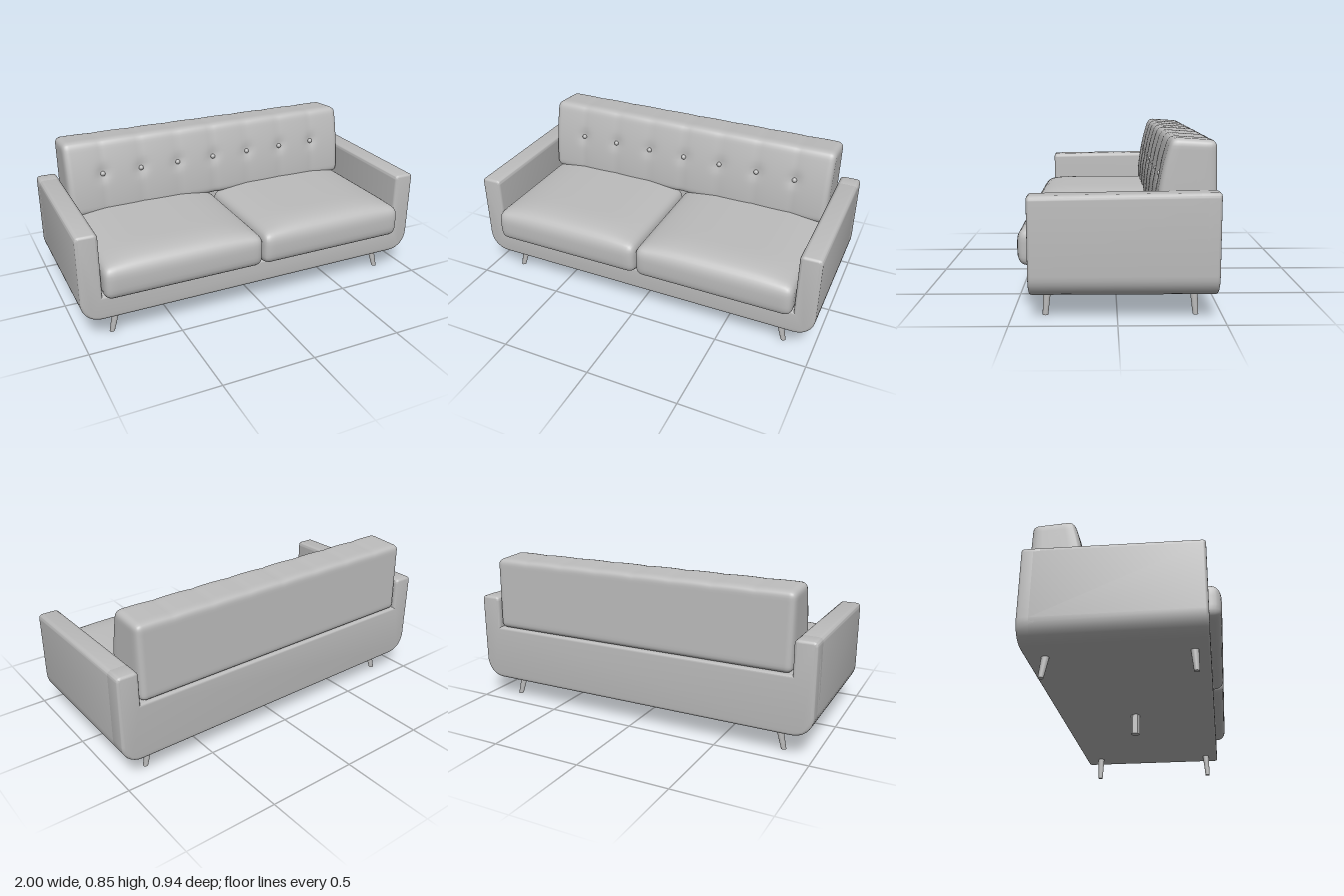
import * as THREE from 'three';
import { mergeVertices, toCreasedNormals } from 'three/addons/utils/BufferGeometryUtils.js';

const fabric = new THREE.MeshStandardMaterial({ color: 0xbcbcbc });
fabric.name = 'grey';

function part(name, geometry, parent) {
  const mesh = new THREE.Mesh(geometry, fabric);
  mesh.name = name;
  parent.add(mesh);
  return mesh;
}

// Rounded, finely divided box; deform(p, n) then shapes it, n being p scaled to -1..1
function softBox(half, r, segments, deform) {
  let g = new THREE.BoxGeometry(2, 2, 2, ...segments);
  g.deleteAttribute('uv');
  g.deleteAttribute('normal');
  g = mergeVertices(g);
  const pos = g.attributes.position;
  const p = new THREE.Vector3(), inner = new THREE.Vector3(), n = new THREE.Vector3();
  const lim = half.clone().subScalar(r), low = lim.clone().negate();
  for (let i = 0; i < pos.count; i++) {
    p.fromBufferAttribute(pos, i);
    // crowd the divisions towards the rounded edges
    p.set(...p.toArray().map((t) => Math.sin(t * Math.PI / 2))).multiply(half);
    inner.copy(p).clamp(low, lim);
    p.sub(inner).setLength(r).add(inner);
    n.copy(p).divide(half);
    deform(p, n);
    pos.setXYZ(i, p.x, p.y, p.z);
  }
  g.computeVertexNormals();
  return g;
}

// U-shaped section: arms joined by a base whose inside floor is at the given height
function frameSection(floor, z0, z1) {
  const s = new THREE.Shape();
  const X = 1, I = 0.885, B = 0.12, T = 0.603, R = 0.11, r = 0.025;
  s.moveTo(-X + R, B);
  s.lineTo(X - R, B);
  s.bezierCurveTo(X - R * 0.4, B, X, B + R * 0.45, X, B + R);
  s.lineTo(X, T - r);
  s.quadraticCurveTo(X, T, X - r, T);
  s.lineTo(I + r, T);
  s.quadraticCurveTo(I, T, I, T - r);
  s.lineTo(I, floor);
  s.lineTo(-I, floor);
  s.lineTo(-I, T - r);
  s.quadraticCurveTo(-I, T, -I - r, T);
  s.lineTo(-X + r, T);
  s.quadraticCurveTo(-X, T, -X, T - r);
  s.lineTo(-X, B + R);
  s.bezierCurveTo(-X, B + R * 0.45, -X + R * 0.4, B, -X + R, B);
  const b = 0.014;
  const g = new THREE.ExtrudeGeometry(s, {
    depth: z1 - z0 - 2 * b, curveSegments: 8, bevelEnabled: true,
    bevelSize: b, bevelThickness: b, bevelOffset: -b, bevelSegments: 3,
  });
  g.translate(0, 0, z0 + b);
  // arms rise slightly towards the back
  const pos = g.attributes.position;
  for (let i = 0; i < pos.count; i++) {
    if (pos.getY(i) > 0.5) pos.setY(i, pos.getY(i) + 0.008 - Math.max(pos.getZ(i), -0.3) * 0.016 - 0.005);
  }
  return toCreasedNormals(g, 0.6);
}

// Plump seat cushion with a crowned top and a gently bowed front
function seatGeometry() {
  return softBox(new THREE.Vector3(0.441, 0.09, 0.35), 0.045, [28, 12, 24], (p, n) => {
    const front = Math.max(n.z, 0);
    if (n.y > 0) p.y += 0.042 * n.y * (1 - n.x ** 4) * (1 - front ** 6);
    if (n.z > 0.8) p.z += 0.008 * (1 - n.y * n.y);
  });
}

const BUTTON_GAP = 0.225, BUTTON_Y = 0.66;

// Tall back cushion, thinner at the top, with pillows between the buttons
function backGeometry() {
  return softBox(new THREE.Vector3(0.88, 0.21, 0.13), 0.035, [112, 26, 12], (p, n) => {
    const v = (n.y + 1) / 2, t = (n.z + 1) / 2;
    const scallop = Math.sqrt(Math.abs(Math.sin(Math.PI * p.x / BUTTON_GAP)));
    const y = 0.43 + 0.415 * v;
    const dx = p.x - Math.max(-3, Math.min(3, Math.round(p.x / BUTTON_GAP))) * BUTTON_GAP;
    const dimple = Math.exp(-(dx * dx + (y - BUTTON_Y) ** 2) / 0.0012);
    const front = -0.183 - 0.068 * v * v + 0.007 * scallop * (1 - v * v * 0.5) - 0.012 * dimple;
    const back = -0.468 + 0.01 * v;
    p.z = back + (front - back) * t;
    p.y = y + v ** 4 * (0.004 * scallop - 0.014 * (1 - t));
  });
}

// Tapered leg leaning from its top to its foot, with level ends
function legGeometry(top, foot) {
  const g = new THREE.CylinderGeometry(0.02, 0.0135, 1, 16);
  const pos = g.attributes.position, c = new THREE.Vector3();
  for (let i = 0; i < pos.count; i++) {
    c.lerpVectors(foot, top, pos.getY(i) + 0.5);
    pos.setXYZ(i, pos.getX(i) + c.x, c.y, pos.getZ(i) + c.z);
  }
  return g;
}

export function createModel() {
  const sofa = new THREE.Group();
  sofa.name = 'sofa';

  // Frame: arms and base, closed by a higher panel at the back
  part('armsAndBase', frameSection(0.25, -0.42, 0.41), sofa);
  part('backPanel', frameSection(0.43, -0.467, -0.36), sofa);

  // Cushions
  const seat = seatGeometry();
  for (const side of [-1, 1]) {
    const m = part(side > 0 ? 'leftSeatCushion' : 'rightSeatCushion', seat, sofa);
    m.position.set(side * 0.4425, 0.335, 0.112);
  }
  part('backCushion', backGeometry(), sofa);

  // Row of buttons
  const button = new THREE.SphereGeometry(0.014, 16, 10);
  for (let i = -3; i <= 3; i++) {
    part('button', button, sofa).position.set(i * BUTTON_GAP, BUTTON_Y, -0.21);
  }

  // Splayed corner legs and a straight middle leg
  for (const side of [-1, 1]) {
    for (const [name, zTop, zFoot] of [['frontLeg', 0.335, 0.343], ['backLeg', -0.367, -0.376]]) {
      part(name, legGeometry(
        new THREE.Vector3(side * 0.798, 0.135, zTop),
        new THREE.Vector3(side * 0.833, 0, zFoot)), sofa);
    }
  }
  const middle = toCreasedNormals(new THREE.CylinderGeometry(0.026, 0.026, 0.12, 6), 0.3);
  part('middleLeg', middle, sofa).position.set(0, 0.068, -0.038);

  return sofa;
}
